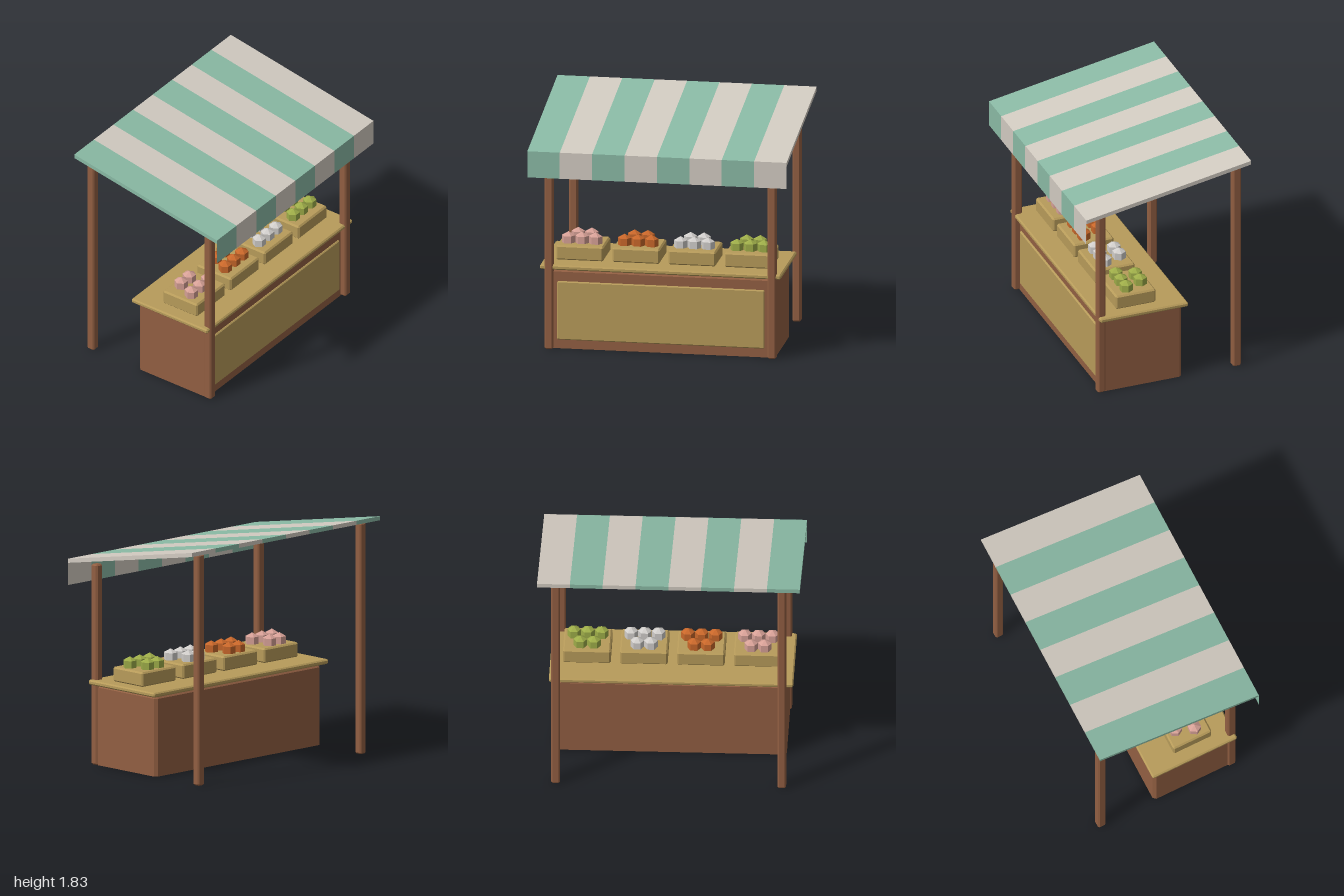
import * as THREE from 'three';
import { ConvexGeometry } from 'three/addons/geometries/ConvexGeometry.js';

const mat = (name, color, side = THREE.FrontSide) => {
  const m = new THREE.MeshStandardMaterial({ color, side, flatShading: true });
  m.name = name;
  return m;
};

// Box with bevelled edges; flatBottom leaves the lower rim unbevelled
function bevelBox(w, h, d, c, flatBottom = false) {
  const pts = [];
  const X = w / 2, Y = h / 2, Z = d / 2;
  for (const sx of [-1, 1]) for (const sy of [-1, 1]) for (const sz of [-1, 1]) {
    const flat = flatBottom && sy < 0;
    const y = flat ? Y : Y - c;
    pts.push(new THREE.Vector3(sx * X, sy * y, sz * (Z - c)));
    pts.push(new THREE.Vector3(sx * (X - c), sy * y, sz * Z));
    if (!flat) pts.push(new THREE.Vector3(sx * (X - c), sy * Y, sz * (Z - c)));
  }
  return new ConvexGeometry(pts);
}

export function createModel() {
  const root = new THREE.Group();
  root.name = 'marketStall';

  const wood = mat('brown wood', 0x925f42);
  const tan = mat('tan wood', 0xb79b5a);
  const green = mat('awning green', 0x8abaa5, THREE.DoubleSide);
  const cream = mat('awning cream', 0xd2cbc1, THREE.DoubleSide);
  const produce = [
    mat('pink produce', 0xd6a096), mat('orange produce', 0xc8672a),
    mat('white produce', 0xd0cdca), mat('green produce', 0x9dac48),
  ];

  const add = (parent, name, geometry, material, x = 0, y = 0, z = 0) => {
    const m = new THREE.Mesh(geometry, material);
    m.name = name;
    m.position.set(x, y, z);
    parent.add(m);
    return m;
  };

  // Counter: body, front panel, worktop
  add(root, 'counterBody', bevelBox(1.76, 0.625, 0.65, 0.022, true), wood, 0, 0.3125, 0.167);
  add(root, 'frontPanel', bevelBox(1.6, 0.46, 0.03, 0.008), tan, 0, 0.3, 0.49);
  add(root, 'worktop', bevelBox(1.86, 0.037, 0.72, 0.01), tan, 0, 0.643, 0.17);

  // Four posts, taller at the back
  for (const s of [-1, 1]) {
    for (const [name, h, z] of [['frontPost', 1.556, 0.504], ['backPost', 1.793, -0.603]]) {
      add(root, name, bevelBox(0.066, h, 0.066, 0.011), wood, s * 0.861, h / 2, z);
    }
  }

  // Crates, each with three pieces in front and two behind
  const pieceGeo = new THREE.SphereGeometry(0.06, 6, 3).toNonIndexed();
  pieceGeo.computeVertexNormals();
  const crateGeo = bevelBox(0.364, 0.115, 0.325, 0.012);
  const spots = [[-0.105, 0.052], [0, 0.052], [0.105, 0.052], [-0.052, -0.084], [0.052, -0.084]];
  produce.forEach((material, i) => {
    const display = new THREE.Group();
    display.name = 'produceDisplay';
    display.position.set(-0.65 + i * 0.4333, 0, 0.2);
    add(display, 'crate', crateGeo, tan, 0, 0.7165, 0);
    for (const [x, z] of spots) add(display, 'producePiece', pieceGeo, material, x, 0.8, z);
    root.add(display);
  });

  // Sloping awning in eight stripes, each with a hanging valance
  const slope = new THREE.Shape([[0.675, 1.558], [0.675, 1.59], [-0.675, 1.832], [-0.675, 1.8]]
    .map(([z, y]) => new THREE.Vector2(z, y)));
  const stripeGeo = new THREE.ExtrudeGeometry(slope, { depth: 0.25, bevelEnabled: false });
  stripeGeo.translate(0, 0, -0.125).rotateY(-Math.PI / 2);
  const valanceGeo = new THREE.PlaneGeometry(0.25, 0.205);
  for (let i = 0; i < 8; i++) {
    const x = -0.875 + i * 0.25;
    const m = i % 2 ? cream : green;
    add(root, 'awningStripe', stripeGeo, m, x);
    add(root, 'valanceStripe', valanceGeo, m, x, 1.4875, 0.677);
  }
  return root;
}
